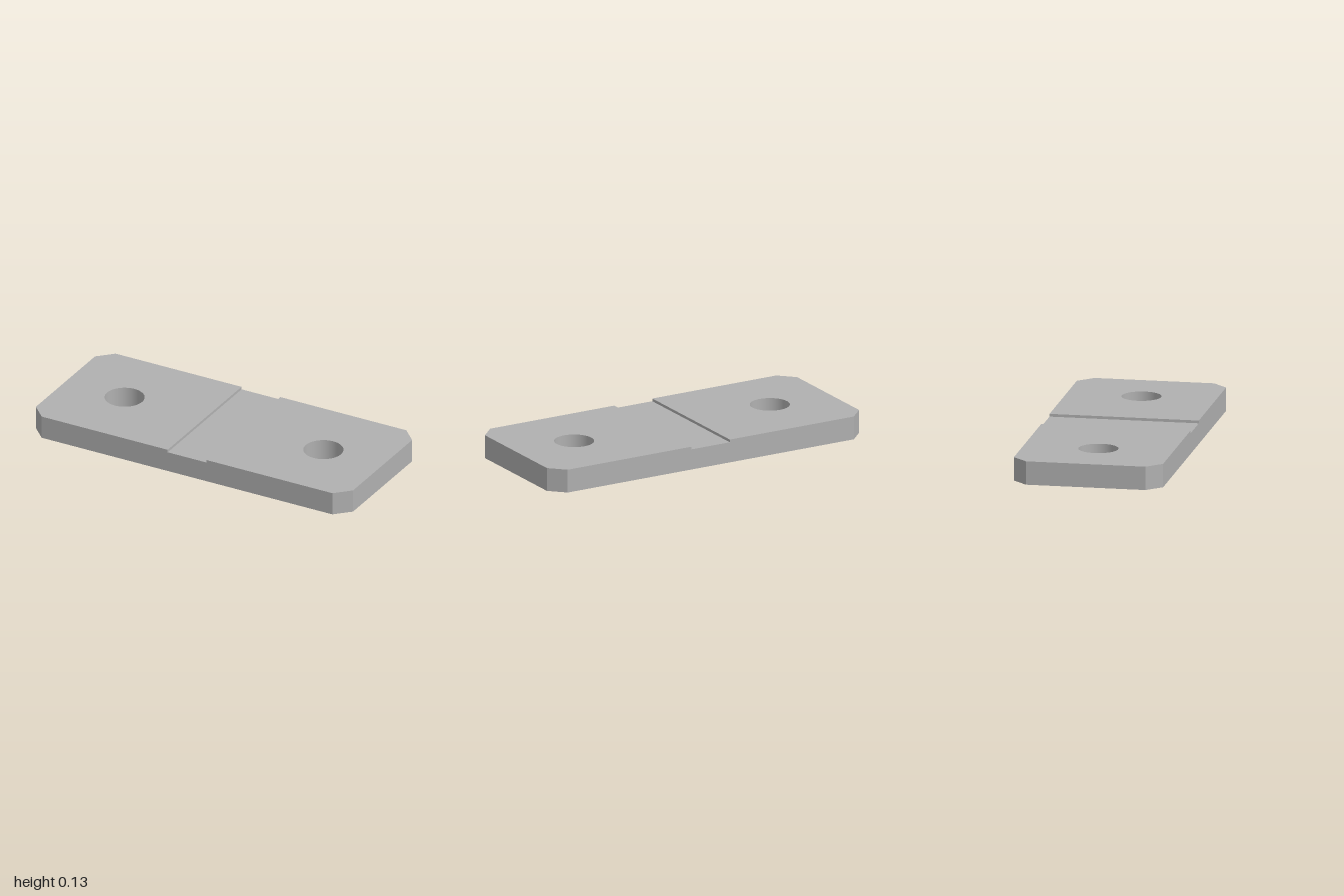
import * as THREE from 'three';
import { mergeGeometries } from 'three/addons/utils/BufferGeometryUtils.js';

const L = 0.967, W = 0.405;        // half length and half width
const CUT = 0.081;                 // corner chamfer
const G = 0.118;                   // half width of the groove
const H = 0.128, FLOOR = 0.113;    // plate height and groove floor height
const HOLE_X = 0.606, HOLE_R = 0.107;

const toShape = (pts) => new THREE.Shape(pts.map(([x, y]) => new THREE.Vector2(x, y)));

// Flat face at height y, facing up or down
function face(shape, y, up) {
  const g = new THREE.ShapeGeometry(shape, 48);
  return g.rotateX(up ? -Math.PI / 2 : Math.PI / 2).translate(0, y, 0);
}

// Upright faces along a path, facing to the right of its direction
function wall(pts, y0, y1) {
  const strips = [];
  for (let i = 0; i + 1 < pts.length; i++) {
    const [ax, ay] = pts[i], [bx, by] = pts[i + 1];
    const g = new THREE.PlaneGeometry(Math.hypot(bx - ax, by - ay), y1 - y0);
    g.rotateY(Math.atan2(by - ay, bx - ax));
    g.translate((ax + bx) / 2, (y0 + y1) / 2, -(ay + by) / 2);
    strips.push(g);
  }
  return mergeGeometries(strips);
}

export function createModel() {
  const model = new THREE.Group();
  model.name = 'connectingPlate';
  const steel = new THREE.MeshStandardMaterial({ color: 0xb0b0b0 });
  steel.name = 'grey steel';

  // Raised end with chamfered corners and a bolt hole
  const outline = [[G, -W], [L - CUT, -W], [L, -W + CUT], [L, W - CUT], [L - CUT, W], [G, W]];
  const endShape = toShape(outline);
  endShape.holes.push(new THREE.Path().absarc(HOLE_X, 0, HOLE_R, 0, Math.PI * 2, true));
  const endGeometry = mergeGeometries([
    face(endShape, H, true),
    face(endShape, 0, false),
    wall(outline, 0, H),
    wall([[G, W], [G, -W]], FLOOR, H),
  ]);
  // Profile runs downwards so the bore faces inwards
  const boreGeometry = new THREE.LatheGeometry(
    [new THREE.Vector2(HOLE_R, H), new THREE.Vector2(HOLE_R, 0)], 96);
  boreGeometry.translate(HOLE_X, 0, 0);

  for (const side of ['left', 'right']) {
    const end = new THREE.Group();
    end.name = side + 'End';
    const plate = new THREE.Mesh(endGeometry, steel);
    plate.name = side + 'Plate';
    const bore = new THREE.Mesh(boreGeometry, steel);
    bore.name = side + 'BoltHole';
    end.add(plate, bore);
    if (side === 'right') end.rotation.y = Math.PI;
    model.add(end);
  }

  // Shallow groove across the middle
  const middle = toShape([[-G, -W], [G, -W], [G, W], [-G, W]]);
  const groove = new THREE.Mesh(mergeGeometries([
    face(middle, FLOOR, true),
    face(middle, 0, false),
    wall([[-G, -W], [G, -W]], 0, FLOOR),
    wall([[G, W], [-G, W]], 0, FLOOR),
  ]), steel);
  groove.name = 'groove';
  model.add(groove);

  // The plate lies slightly turned
  model.rotation.y = -0.1215;
  return model;
}
